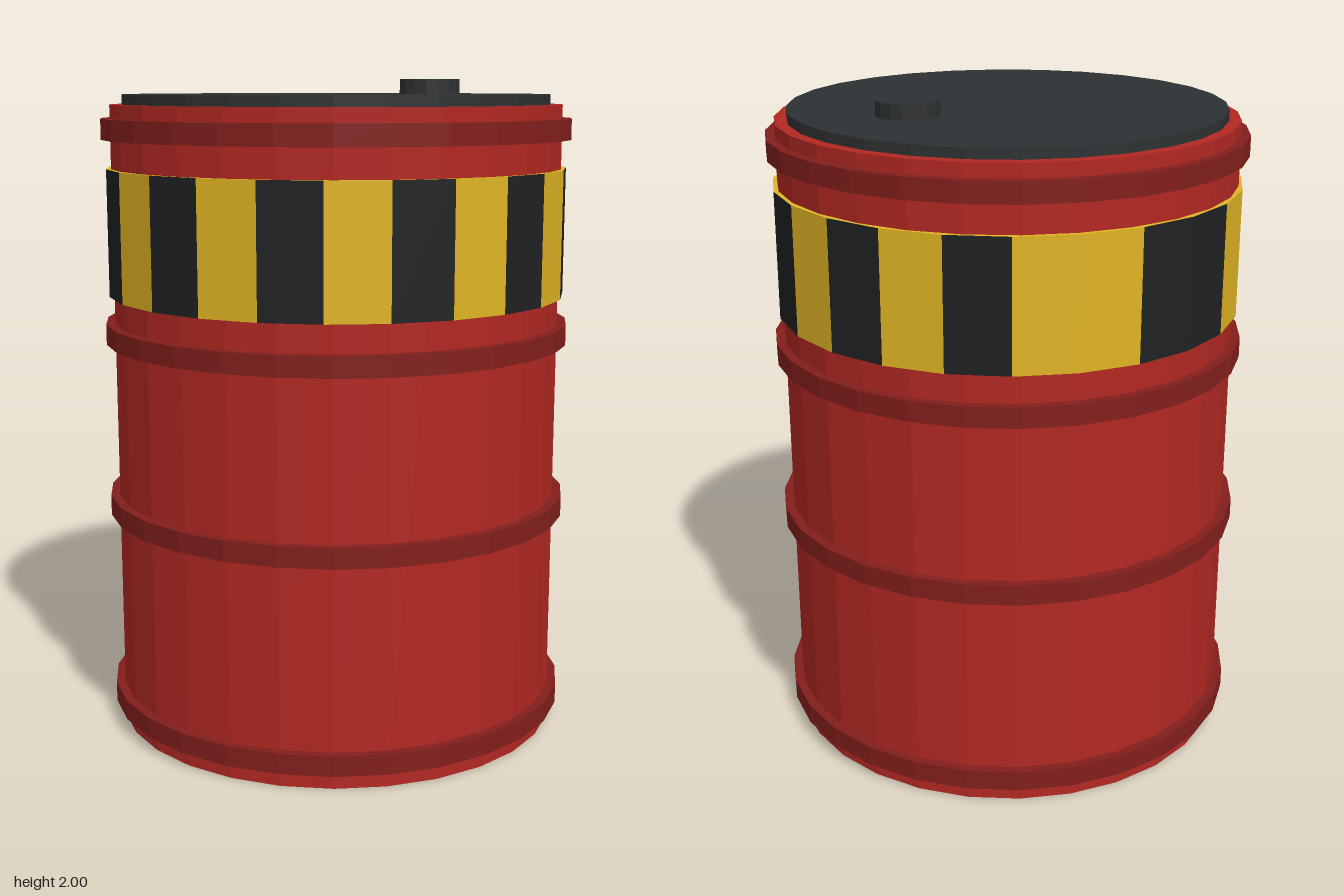
import * as THREE from 'three';
import { mergeGeometries } from 'three/addons/utils/BufferGeometryUtils.js';

const SIDES = 28;
const paint = (color) => new THREE.MeshStandardMaterial({ color, flatShading: true });

export function createModel() {
  const drum = new THREE.Group();
  drum.name = 'drum';
  const red = paint(0xb22822);
  const darkRed = paint(0x821f1c);
  const yellow = paint(0xe0b424);
  const black = paint(0x1f2123);
  const charcoal = paint(0x2e3133);

  const add = (name, geometry, material) => {
    const mesh = new THREE.Mesh(geometry, material);
    mesh.name = name;
    drum.add(mesh);
    return mesh;
  };
  // Upright cylinder between two heights
  const disc = (name, r, y0, y1, material, sides = SIDES) => {
    const mesh = add(name, new THREE.CylinderGeometry(r, r, y1 - y0, sides), material);
    mesh.position.y = (y0 + y1) / 2;
    return mesh;
  };

  // Shell and reinforcing hoops
  disc('body', 0.69, 0, 1.925, red);
  [0.08, 0.697, 1.235, 1.853].forEach((y, i) =>
    disc('hoop' + (i + 1), 0.718, y - 0.031, y + 0.031, darkRed));

  // Warning band: 24 flat panels in two colours, with one swapped pair at the back
  const panels = 24, step = (Math.PI * 2) / panels;
  const r = 0.705, y0 = 1.35, y1 = 1.735;
  const yellowParts = [], blackParts = [];
  for (let k = 0; k < panels; k++) {
    const swapped = k === 12 || k === 13;
    const panel = new THREE.CylinderGeometry(r, r, y1 - y0, 1, 1, true, k * step, step);
    panel.translate(0, (y0 + y1) / 2, 0);
    ((k % 2 === 1) !== swapped ? yellowParts : blackParts).push(panel);
  }
  // Top and bottom edges of the band
  for (const [y, turn] of [[y1, -1], [y0, 1]]) {
    const edge = new THREE.RingGeometry(0.66, r, panels);
    edge.rotateX(turn * Math.PI / 2);
    edge.translate(0, y, 0);
    yellowParts.push(edge);
  }
  add('yellowStripes', mergeGeometries(yellowParts), yellow);
  add('blackStripes', mergeGeometries(blackParts), black);

  // Lid and filler cap
  disc('lid', 0.653, 1.92, 1.955, charcoal);
  const cap = disc('fillerCap', 0.095, 1.95, 2, charcoal, 16);
  cap.position.x = 0.323;
  cap.position.z = -0.097;

  return drum;
}
